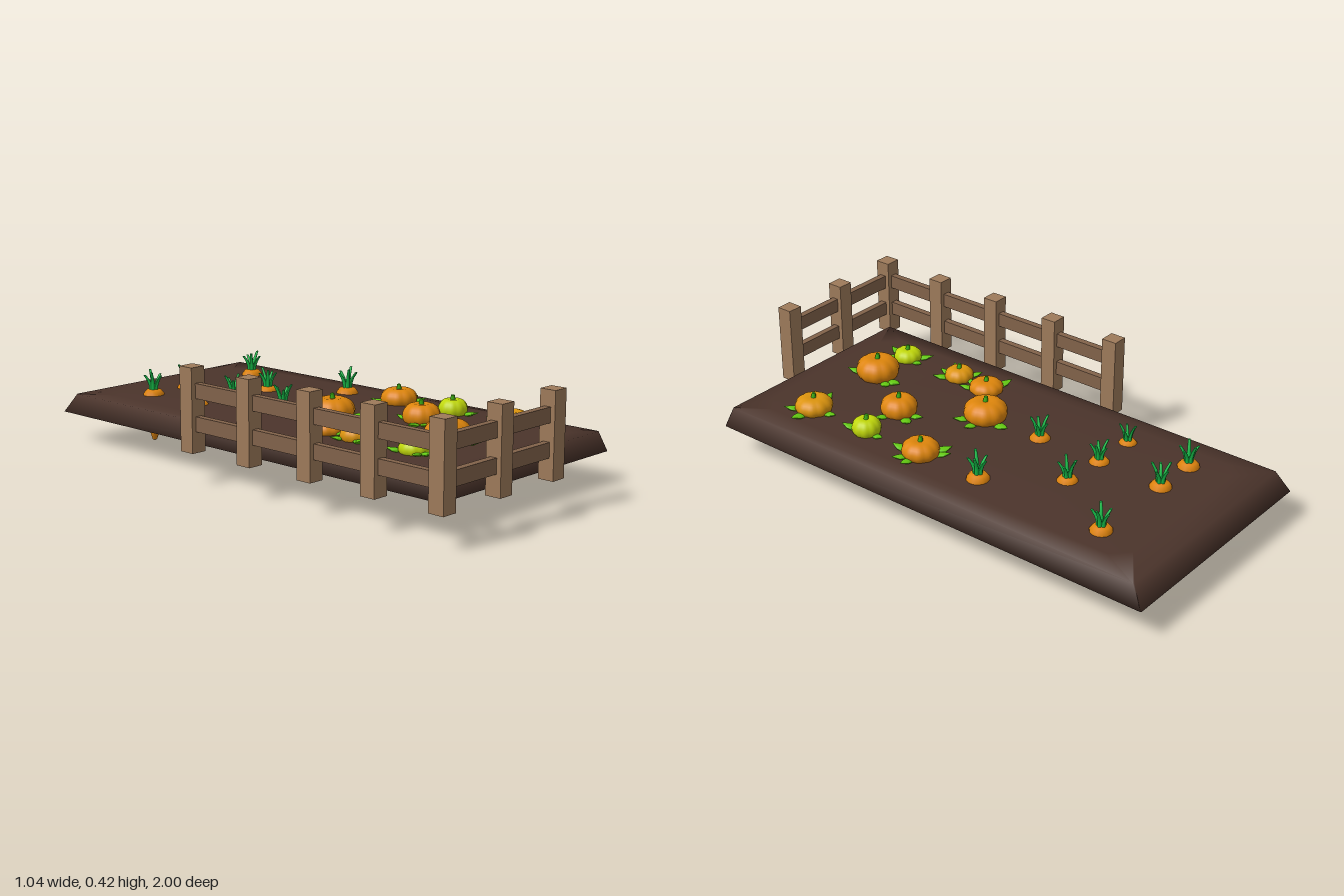
import * as THREE from 'three';
import { mergeVertices } from 'three/addons/utils/BufferGeometryUtils.js';

export function createModel() {
  const model = new THREE.Group();
  const mat = (name, color) => {
    const m = new THREE.MeshStandardMaterial({ color });
    m.name = name;
    return m;
  };
  const soil = mat('soil', 0x4b342b);
  const wood = mat('wood', 0x9d7a5a);
  const railWood = mat('rail wood', 0x81624a);
  const carrotOrange = mat('carrot orange', 0xdc820c);
  const carrotGreen = mat('carrot green', 0x16bb48);
  const orange = mat('pumpkin orange', 0xdd850c);
  const amber = mat('pumpkin amber', 0xdc940e);
  const lime = mat('unripe lime', 0xbfd60a);
  const stemGreen = mat('stem green', 0x3cae14);
  const leafGreen = mat('leaf green', 0x62c812);

  const add = (parent, name, geometry, material, x = 0, y = 0, z = 0) => {
    const m = new THREE.Mesh(geometry, material);
    m.name = name;
    m.position.set(x, y, z);
    parent.add(m);
    return m;
  };
  const group = (name, x, y, z) => {
    const g = new THREE.Group();
    g.name = name;
    g.position.set(x, y, z);
    model.add(g);
    return g;
  };

  // Soil bed: closed smooth slab from rings [x0, x1, z0, z1, y, corner cut], underside first
  const rings = [
    [-0.3, 0.41, -0.87, 0.77, 0.127, 0.07],
    [-0.41, 0.517, -1, 0.893, 0.117, 0.003],
    [-0.385, 0.49, -0.95, 0.872, 0.19, 0.004],
    [-0.31, 0.41, -0.85, 0.8, 0.195, 0.06],
    [-0.15, 0.25, -0.5, 0.5, 0.202, 0.06],
  ];
  const pos = [], index = [];
  for (const [x0, x1, z0, z1, y, c] of rings) {
    const loop = [[x1 - c, z1], [x1, z1 - c], [x1, z0 + c], [x1 - c, z0],
      [x0 + c, z0], [x0, z0 + c], [x0, z1 - c], [x0 + c, z1]];
    for (const [x, z] of loop) pos.push(x, y, z);
  }
  for (let r = 0; r < rings.length - 1; r++) {
    for (let k = 0; k < 8; k++) {
      const a = r * 8 + k, b = r * 8 + (k + 1) % 8;
      index.push(a, b, b + 8, a, b + 8, a + 8);
    }
  }
  const last = (rings.length - 1) * 8;
  for (let k = 1; k < 7; k++) {
    index.push(0, k + 1, k);
    index.push(last, last + k, last + k + 1);
  }
  const bed = new THREE.BufferGeometry();
  bed.setAttribute('position', new THREE.Float32BufferAttribute(pos, 3));
  bed.setIndex(index);
  bed.computeVertexNormals();
  add(model, 'soilBed', bed, soil);

  // Fence: an L of posts with two rails on each run
  const fence = group('fence', 0, 0, 0);
  const cx = -0.49, cz = 0.967;
  const posts = [[cx, cz], [-0.207, cz], [0.075, cz], [cx, 0.684], [cx, 0.402], [cx, 0.117], [cx, -0.167]];
  const postGeo = new THREE.BoxGeometry(0.061, 0.307, 0.061);
  for (const [x, z] of posts) add(fence, 'post', postGeo, wood, x, 0.2705, z);
  for (const y of [0.221, 0.34]) {
    add(fence, 'frontRail', new THREE.BoxGeometry(0.565, 0.054, 0.026), railWood, -0.2075, y, cz);
    add(fence, 'sideRail', new THREE.BoxGeometry(0.026, 0.054, 1.135), railWood, cx, y, 0.4);
  }

  // Carrots: lathed roots with a tuft of bent shoots; [x, z, tip height, scale]
  const root = new THREE.LatheGeometry([
    [0, 0], [0.009, 0.004], [0.02, 0.04], [0.03, 0.09], [0.038, 0.14],
    [0.043, 0.18], [0.042, 0.2], [0.03, 0.215], [0, 0.22],
  ].map(([r, y]) => new THREE.Vector2(r, y)), 14);
  const shoot = new THREE.CylinderGeometry(0.005, 0.009, 0.08, 8, 3);
  shoot.translate(0, 0.04, 0);
  const sp = shoot.attributes.position;
  for (let i = 0; i < sp.count; i++) {
    const t = sp.getY(i) / 0.08;
    sp.setX(i, sp.getX(i) + 0.026 * t * t);
  }
  shoot.computeVertexNormals();
  const carrots = [
    [-0.21, -0.697, 0.018, 0.95], [-0.035, -0.697, 0.018, 0.95], [0.315, -0.697, 0.018, 0.95],
    [-0.21, -0.437, 0.028, 0.82], [-0.035, -0.437, 0.018, 0.9], [0.135, -0.424, 0.013, 0.92],
    [-0.035, -0.173, 0.018, 0.93], [0.317, -0.173, 0, 1],
  ];
  carrots.forEach(([x, z, tip, s], n) => {
    const g = group('carrot', x, tip, z);
    const top = 0.222 - tip + (s - 0.95) * 0.05;
    add(g, 'carrotRoot', root, carrotOrange).scale.set(s, top / 0.22, s);
    for (let k = 0; k < 5; k++) {
      const a = k * Math.PI / 2.5 + n * 1.3;
      const leaf = add(g, 'carrotTop', shoot, carrotGreen, 0.009 * Math.cos(a), top - 0.008, -0.009 * Math.sin(a));
      leaf.rotation.y = a;
      leaf.scale.set(s, s * (0.8 + 0.2 * (k % 2)), s);
    }
  });

  // Pumpkin body: full-sided ribbed sphere with dimpled poles
  let gourd = new THREE.SphereGeometry(1, 50, 16);
  gourd.deleteAttribute('uv');
  gourd.deleteAttribute('normal');
  const gp = gourd.attributes.position;
  for (let i = 0; i < gp.count; i++) {
    const x = gp.getX(i), y = gp.getY(i), z = gp.getZ(i);
    const rho = Math.max(Math.hypot(x, z), 1e-3);
    const rib = 0.93 + 0.07 * Math.abs(Math.cos(5 * Math.atan2(z, x))) ** 0.7;
    const swell = rib * rho ** -0.2;
    const dimple = 1 - 0.2 * Math.exp(-rho * rho / 0.08);
    gp.setXYZ(i, x * swell, y * dimple, z * swell);
  }
  gourd = mergeVertices(gourd, 1e-4);
  gourd.computeVertexNormals();

  // Leaf: flattened pointed bud along +x from its base
  const leafGeo = new THREE.SphereGeometry(1, 8, 6);
  const lp = leafGeo.attributes.position;
  for (let i = 0; i < lp.count; i++) {
    const t = (lp.getX(i) + 1) / 2;
    const taper = 1.2 - t;
    lp.setXYZ(i, t * 0.062, lp.getY(i) * 0.01 * taper + 0.012 * t * t, lp.getZ(i) * 0.026 * taper);
  }
  leafGeo.computeVertexNormals();
  const stemGeo = new THREE.CylinderGeometry(0.007, 0.011, 0.032, 8);

  // [x, z, radius, top height, material, leaf angles in degrees from +x towards +z]
  const pumpkins = [
    [-0.03, 0.075, 0.083, 0.278, orange, [0, 285, 150, 130, 40]],
    [0.318, 0.09, 0.07, 0.26, orange, [0, 215, 240, 80, 30]],
    [-0.2, 0.21, 0.066, 0.244, orange, [60, 200, 95]],
    [-0.21, 0.352, 0.056, 0.248, amber, [90, 130, 215, 50]],
    [0.138, 0.352, 0.07, 0.271, orange, [15, 160, 265, 300, 130]],
    [0.318, 0.35, 0.055, 0.258, lime, [165, 75, 280]],
    [-0.21, 0.615, 0.055, 0.245, lime, [55, 100, 285, 235, 130]],
    [-0.03, 0.61, 0.084, 0.282, orange, [70, 150, 170, 280, 300]],
    [0.318, 0.615, 0.072, 0.256, amber, [50, 170, 270, 0]],
  ];
  for (const [x, z, r, top, skin, angles] of pumpkins) {
    const g = group('pumpkin', x, 0, z);
    const half = (top - 0.18) / 2;
    add(g, 'pumpkinBody', gourd, skin, 0, 0.18 + half, 0).scale.set(r, half * 1.04, r);
    add(g, 'pumpkinStem', stemGeo, stemGreen, 0, top - 0.004, 0).rotation.z = 0.15;
    angles.forEach((deg, i) => {
      const a = deg * Math.PI / 180, d = r * 0.82;
      const leaf = add(g, 'pumpkinLeaf', leafGeo, leafGreen, d * Math.cos(a), 0.203, d * Math.sin(a));
      leaf.rotation.y = -a;
      leaf.scale.setScalar(0.85 + 0.15 * (i % 2) + (r - 0.07) * 5);
    });
  }
  return model;
}
